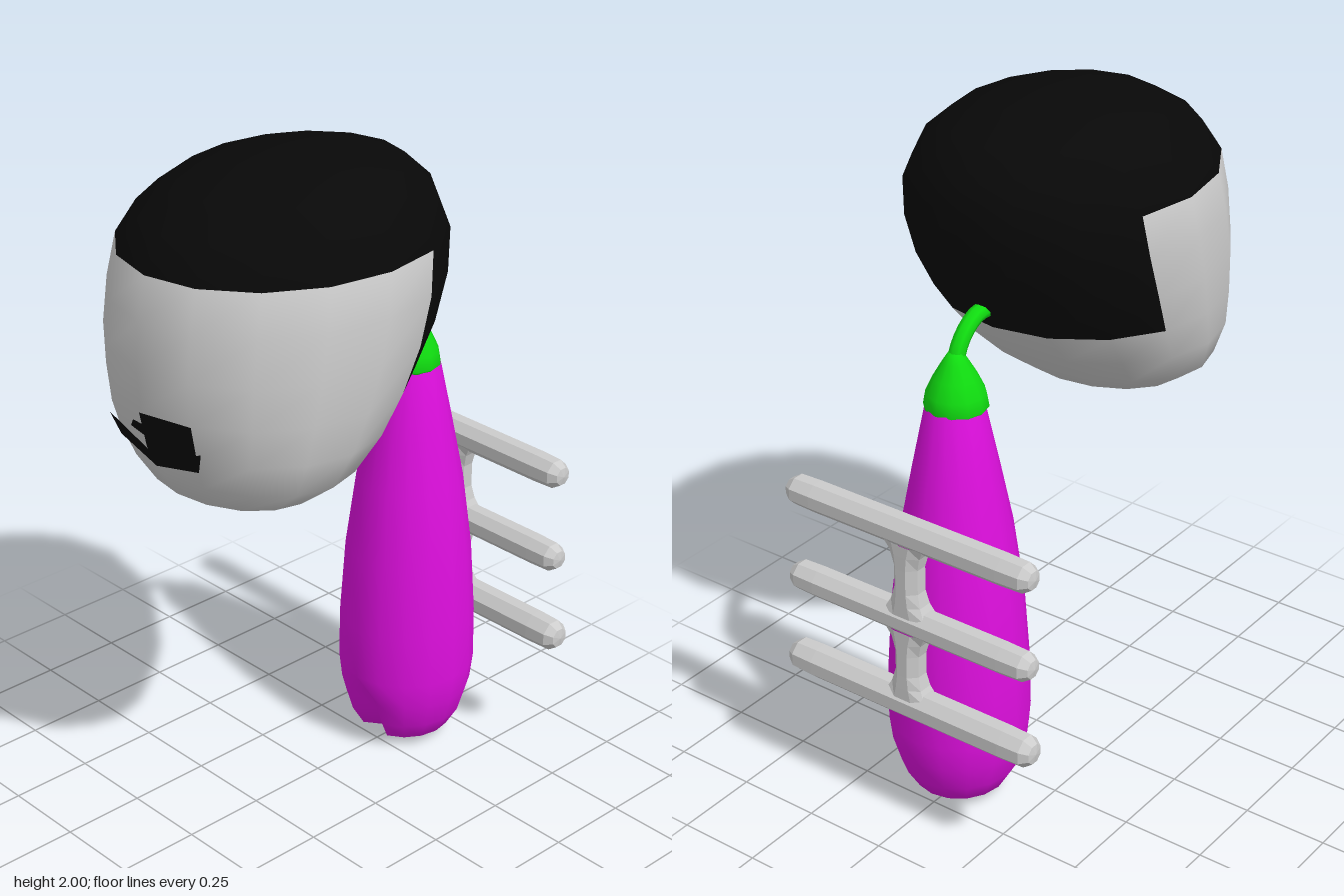
import * as THREE from 'three';
import { mergeVertices } from 'three/addons/utils/BufferGeometryUtils.js';

const mat = (color, extra = {}) => new THREE.MeshStandardMaterial({ color, ...extra });
const V2 = (pts) => pts.map(([x, y]) => new THREE.Vector2(x, y));

function add(parent, name, geometry, material) {
  const mesh = new THREE.Mesh(geometry, material);
  mesh.name = name;
  parent.add(mesh);
  return mesh;
}

// Welded, smooth-shaded lathe with an optional vertex rule
function smoothLathe(profile, sides, rule) {
  let g = new THREE.LatheGeometry(V2(profile), sides);
  g.deleteAttribute('uv');
  g.deleteAttribute('normal');
  g = mergeVertices(g, 1e-4);
  if (rule) {
    const p = g.attributes.position, v = new THREE.Vector3();
    for (let i = 0; i < p.count; i++) {
      rule(v.fromBufferAttribute(p, i));
      p.setXYZ(i, v.x, v.y, v.z);
    }
  }
  g.computeVertexNormals();
  return g;
}

// Head cross-sections: height, half width, front z, back z
const RINGS = [
  [1.085, 0.15, 0.45, 0.21], [1.125, 0.27, 0.515, 0.11], [1.2, 0.365, 0.56, 0.01],
  [1.3, 0.405, 0.605, -0.10], [1.41, 0.422, 0.628, -0.2], [1.53, 0.432, 0.64, -0.28],
  [1.66, 0.428, 0.63, -0.335], [1.78, 0.412, 0.603, -0.35], [1.87, 0.36, 0.545, -0.32],
  [1.94, 0.275, 0.43, -0.245], [1.985, 0.15, 0.27, -0.1],
];
const SEG = 16;

function buildHead(group, black, grey) {
  const pos = [0, 1.07, 0.33];
  for (const [y, w, f, b] of RINGS) {
    for (let j = 0; j < SEG; j++) {
      const a = (j / SEG) * Math.PI * 2;
      pos.push(w * Math.sin(a), y, (f + b) / 2 + ((f - b) / 2) * Math.cos(a));
    }
  }
  pos.push(0, 2, 0.08);
  const top = pos.length / 3 - 1, last = RINGS.length - 1;
  const id = (i, j) => 1 + i * SEG + (j % SEG);
  const skin = [], hair = [];
  for (let j = 0; j < SEG; j++) {
    skin.push(0, id(0, j + 1), id(0, j));
    hair.push(top, id(last, j), id(last, j + 1));
    for (let i = 0; i < last; i++) {
      // Hair covers the crown and the back of the head down to the nape
      const y = RINGS[i][0];
      const isHair = y >= 1.78 || (y >= 1.41 && j >= 5 && j < SEG - 5);
      const a = id(i, j), b = id(i, j + 1), c = id(i + 1, j + 1), d = id(i + 1, j);
      (isHair ? hair : skin).push(a, b, c, a, c, d);
    }
  }
  // Both parts share the same normals, so the surface stays smooth at the hairline
  const whole = new THREE.BufferGeometry();
  whole.setAttribute('position', new THREE.Float32BufferAttribute(pos, 3));
  whole.setIndex([...skin, ...hair]);
  whole.computeVertexNormals();
  add(group, 'face', whole.clone().setIndex(skin), grey);
  add(group, 'hair', whole.clone().setIndex(hair), black);
}

// Front surface of the head at a given x and y
function faceZ(x, y) {
  let i = 0;
  while (i < RINGS.length - 2 && RINGS[i + 1][0] < y) i++;
  const t = (y - RINGS[i][0]) / (RINGS[i + 1][0] - RINGS[i][0]);
  const [, w, f, b] = RINGS[i].map((v, k) => v + (RINGS[i + 1][k] - v) * t);
  const step = (Math.PI * 2) / SEG;
  const cos = 1 - (Math.abs(x) / (w * Math.sin(step))) * (1 - Math.cos(step));
  return (f + b) / 2 + ((f - b) / 2) * cos;
}

function buildMouth(group, black) {
  const pieces = {
    mouthRight: [[-0.19, 1.325], [-0.16, 1.266], [0, 1.232], [0, 1.29]],
    mouthLeft: [[0, 1.232], [0.16, 1.266], [0.187, 1.332], [0.17, 1.325], [0, 1.3]],
    mouthBlock: [[0, 1.3], [0.17, 1.3], [0.17, 1.41], [0, 1.405]],
    mouthCorner: [[-0.07, 1.335], [0, 1.335], [0, 1.37], [-0.05, 1.362]],
  };
  for (const [name, pts] of Object.entries(pieces)) {
    const g = new THREE.ShapeGeometry(new THREE.Shape(V2(pts)));
    const p = g.attributes.position;
    for (let i = 0; i < p.count; i++) p.setZ(i, faceZ(p.getX(i), p.getY(i)) + 0.008);
    g.computeVertexNormals();
    add(group, name, g, black);
  }
}

function buildBody(group, purple, green) {
  const profile = [
    [0, 0.035], [0.08, 0.005], [0.135, 0.04], [0.17, 0.1], [0.193, 0.18], [0.202, 0.26],
    [0.2, 0.42], [0.185, 0.65], [0.155, 0.88], [0.118, 1.07], [0.083, 1.24], [0.05, 1.3],
  ];
  // Cleft low on the front, and a dent under the base
  const body = smoothLathe(profile, 16, (v) => {
    const low = THREE.MathUtils.clamp(1 - v.y / 0.25, 0, 1);
    if (v.y < 0.03) v.y += 0.025 * Math.max(0, 1 - Math.abs(v.x) / 0.08);
    if (Math.abs(v.x) < 0.01 && v.z > 0) v.z *= 1 - 0.5 * Math.sqrt(low);
    v.z *= 1.03;
  });
  add(group, 'body', body, purple).position.z = -0.37;

  // Stalk cap with a bent stem reaching the head
  const cap = smoothLathe([
    [0, 1.25], [0.08, 1.235], [0.09, 1.245], [0.083, 1.285], [0.062, 1.33], [0.036, 1.375], [0.02, 1.4], [0, 1.4],
  ], 12);
  add(group, 'stalkCap', cap, green).position.z = -0.363;
  const path = new THREE.CatmullRomCurve3([
    [1.34, -0.363], [1.39, -0.357], [1.44, -0.325], [1.475, -0.27], [1.475, -0.2],
  ].map(([y, z]) => new THREE.Vector3(0, y, z)));
  add(group, 'stalk', new THREE.TubeGeometry(path, 10, 0.024, 8), green);
}

function buildRack(group, grey) {
  const rack = new THREE.Group();
  rack.name = 'backRack';
  group.add(rack);
  const bars = [[0.41, -0.588, 0.05, 0.43], [0.675, -0.58, 0.046, 0.42], [0.95, -0.577, 0.046, 0.42]];
  // Horizontal bars with bevelled ends
  for (const [y, z, r, h] of bars) {
    const half = [[0, h], [r * 0.6, h - 0.005], [r * 0.95, h - 0.03], [r, h - 0.1]];
    const profile = [...half.map(([x, l]) => [x, -l]), ...half.reverse()];
    const g = new THREE.LatheGeometry(V2(profile), 8, Math.PI / 8);
    g.rotateZ(Math.PI / 2);
    add(rack, 'crossBar', g, grey).position.set(0, y, z);
  }
  // Upright segments, flared where they meet the bars
  for (let i = 0; i < 2; i++) {
    const [y0, z0] = bars[i], [y1, z1] = bars[i + 1], len = y1 - y0;
    const g = new THREE.LatheGeometry(V2([
      [0.075, 0.025], [0.055, 0.06], [0.044, 0.1], [0.044, len - 0.1], [0.055, len - 0.06], [0.075, len - 0.025],
    ]), 8, Math.PI / 8);
    // Flare only sideways, and follow the slight lean
    const p = g.attributes.position;
    for (let k = 0; k < p.count; k++) {
      const z = THREE.MathUtils.clamp(p.getZ(k), -0.041, 0.041);
      p.setZ(k, z + z0 + ((z1 - z0) * p.getY(k)) / len);
    }
    add(rack, 'upright', g, grey).position.y = y0;
  }
}

export function createModel() {
  const group = new THREE.Group();
  group.name = 'model';
  const black = mat(0x080808);
  const head = new THREE.Group();
  head.name = 'head';
  group.add(head);
  buildHead(head, black, mat(0xcccccc));
  buildMouth(head, black);
  buildBody(group, mat(0xdd0fdd), mat(0x10dd10));
  buildRack(group, mat(0xcccccc, { flatShading: true }));
  return group;
}
